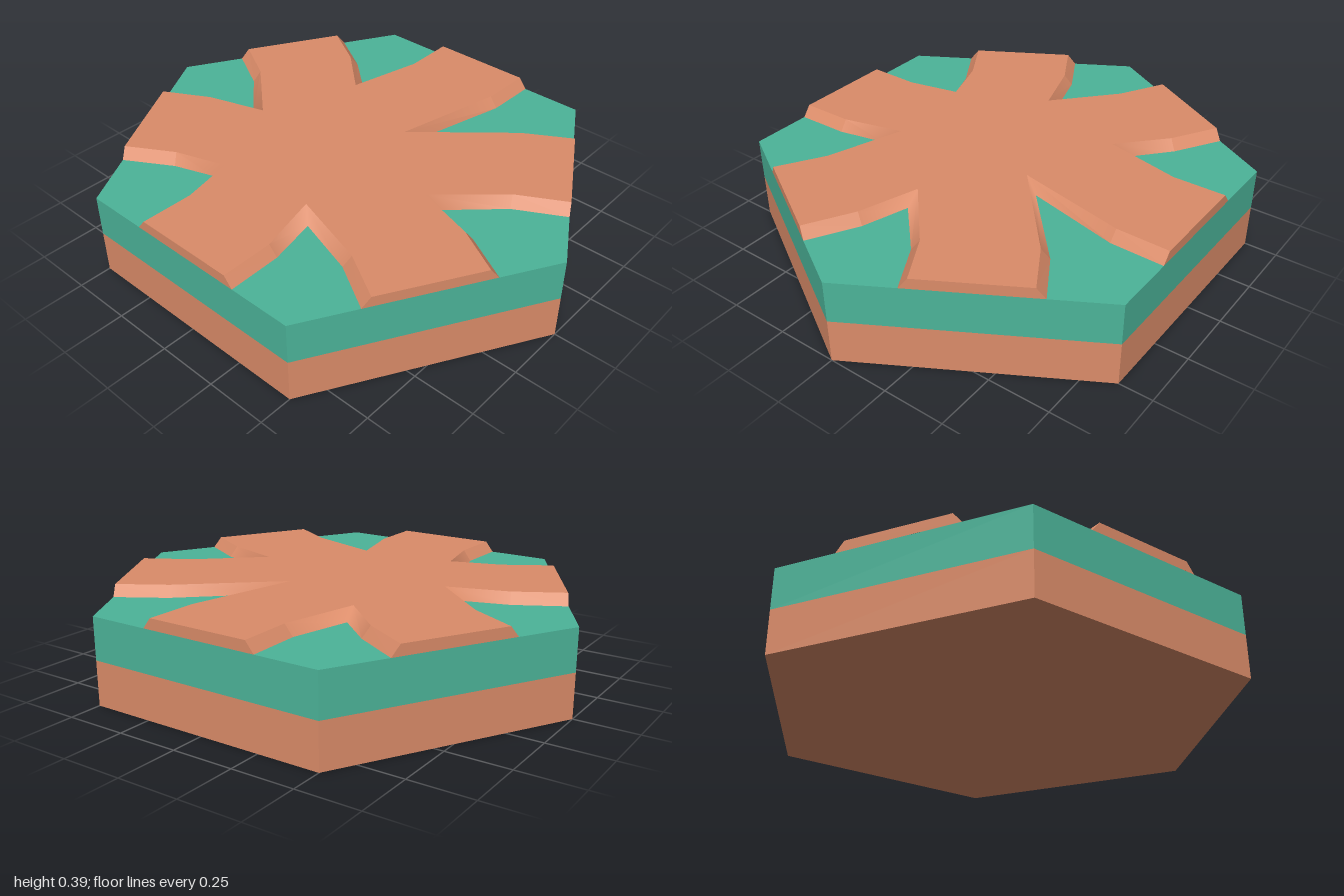
import * as THREE from 'three';

const earth = new THREE.MeshStandardMaterial({ color: 0xdb8c69 });
earth.name = 'earth';
const grass = new THREE.MeshStandardMaterial({ color: 0x4cb499 });
grass.name = 'grass';

const GRASS_BOTTOM = 0.178, GRASS_TOP = 0.347, PATH_TOP = 0.39;

// Faceted hexagonal slab between two heights
function hexSlab(name, y0, y1, material) {
  const geo = new THREE.CylinderGeometry(1, 1, y1 - y0, 6).toNonIndexed();
  geo.computeVertexNormals();
  const mesh = new THREE.Mesh(geo, material);
  mesh.position.y = (y0 + y1) / 2;
  mesh.name = name;
  return mesh;
}

// Outline of the crossing: one notch per hexagon corner, each with its own inner tip [x, z]
function pathOutline(edge, mid, tips) {
  const points = [];
  tips.forEach((tip, k) => {
    const c = Math.cos(k * Math.PI / 3), s = Math.sin(k * Math.PI / 3);
    const turn = ([x, z]) => [x * c - z * s, x * s + z * c];
    const flip = ([x, z]) => [-x, z];
    points.push(turn(flip(edge)), turn(flip(mid)), tip, turn(mid), turn(edge));
  });
  return points;
}

// Sloping banks between the lower and upper outlines, rounded at the notch tips
function bankGeometry(lower, upper) {
  const positions = [], n = lower.length;
  for (let i = 0; i < n; i++) {
    const j = (i + 1) % n;
    const aB = [lower[i][0], GRASS_TOP, lower[i][1]], bB = [lower[j][0], GRASS_TOP, lower[j][1]];
    const aT = [upper[i][0], PATH_TOP, upper[i][1]], bT = [upper[j][0], PATH_TOP, upper[j][1]];
    positions.push(...aB, ...aT, ...bT, ...aB, ...bT, ...bB);
  }
  const geo = new THREE.BufferGeometry();
  geo.setAttribute('position', new THREE.Float32BufferAttribute(positions, 3));
  geo.computeVertexNormals();
  const normals = geo.attributes.normal, v = new THREE.Vector3();
  for (let tip = 2; tip < n; tip += 5) {
    const before = (tip - 1) * 6, after = tip * 6;
    const shared = [before + 2, before + 4, before + 5, after, after + 1, after + 3];
    const sum = new THREE.Vector3();
    shared.forEach(i => sum.add(v.fromBufferAttribute(normals, i)));
    sum.normalize();
    shared.forEach(i => normals.setXYZ(i, sum.x, sum.y, sum.z));
  }
  return geo;
}

export function createModel() {
  const model = new THREE.Group();
  model.name = 'hexPathTile';

  model.add(hexSlab('earthBase', 0, GRASS_BOTTOM, earth));
  model.add(hexSlab('grassLayer', GRASS_BOTTOM, GRASS_TOP, grass));

  // Raised six-way dirt path
  const upper = pathOutline([0.25, -0.856], [0.146, -0.67],
    [[-0.07, -0.43], [0.34, -0.28], [0.2, 0.11], [-0.07, 0.43], [-0.405, 0.145], [-0.44, -0.255]]);
  const lower = pathOutline([0.22, -0.873], [0.116, -0.685],
    [[-0.06, -0.5], [0.41, -0.3], [0.27, 0.15], [-0.06, 0.5], [-0.455, 0.2], [-0.48, -0.285]]);

  const path = new THREE.Group();
  path.name = 'dirtPath';
  const shape = new THREE.Shape(upper.map(([x, z]) => new THREE.Vector2(x, -z)));
  const surface = new THREE.Mesh(new THREE.ShapeGeometry(shape).rotateX(-Math.PI / 2), earth);
  surface.position.y = PATH_TOP;
  surface.name = 'pathSurface';
  const banks = new THREE.Mesh(bankGeometry(lower, upper), earth);
  banks.name = 'pathBanks';
  path.add(surface, banks);
  model.add(path);

  return model;
}
